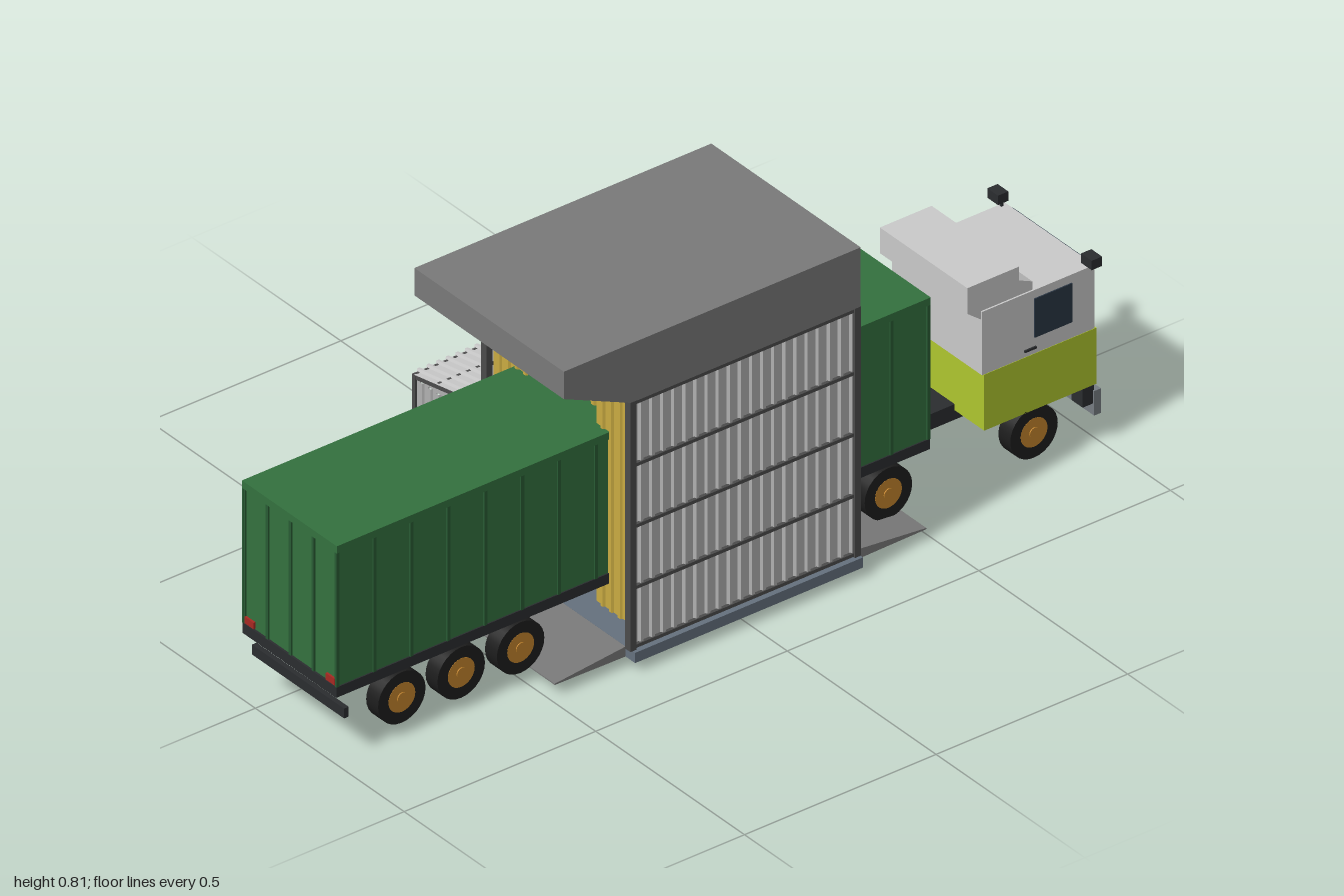
import * as THREE from 'three';

const C = {
  light: 0xcccccc, wall: 0xb2b2b2, roof: 0x7a7a7a, frame: 0x4c4c4c, yellow: 0xcbac42, base: 0x66727f,
  dark: 0x2b2d30, tyre: 0x1d1d1d, hub: 0xc4852c, green: 0x34723f, rib: 0x295c34, lime: 0xb0c72f,
  glass: 0x2a3644, lamp: 0xe2dfae, steel: 0x777d83, wood: 0x8f7550, tank: 0xa9b4bb, blue: 0x2c62a8, red: 0xa82a22,
};
const mats = {};
const mat = (c) => (mats[c] ??= new THREE.MeshStandardMaterial({ color: C[c] }));
const thin = (c) => (mats['thin' + c] ??= new THREE.MeshStandardMaterial({ color: C[c], side: THREE.DoubleSide, flatShading: true }));

function mesh(parent, name, geo, material, x = 0, y = 0, z = 0) {
  const m = new THREE.Mesh(geo, material);
  m.name = name;
  m.position.set(x, y, z);
  parent.add(m);
  return m;
}
// Box given by its limits
function box(p, name, c, x0, x1, y0, y1, z0, z1) {
  return mesh(p, name, new THREE.BoxGeometry(x1 - x0, y1 - y0, z1 - z0), mat(c), (x0 + x1) / 2, (y0 + y1) / 2, (z0 + z1) / 2);
}
// Side outline in x, y extruded between two z values
function prism(p, name, c, pts, z0, z1) {
  const s = new THREE.Shape(pts.map(([x, y]) => new THREE.Vector2(x, y)));
  return mesh(p, name, new THREE.ExtrudeGeometry(s, { depth: z1 - z0, bevelEnabled: false }), mat(c), 0, 0, z0);
}
function cyl(p, name, c, r, h, x, y, z, seg = 20) {
  return mesh(p, name, new THREE.CylinderGeometry(r, r, h, seg), mat(c), x, y, z);
}
// Sheet with n trapezoid ribs running along its height
function corrugated(p, name, c, w, h, n, depth, x, y, z) {
  const g = new THREE.PlaneGeometry(w, h, n * 4, 1), a = g.attributes.position;
  const at = [0, 0.55, 0.65, 0.9], up = [0, 0, 1, 1];
  for (let i = 0; i < a.count; i++) {
    const col = i % (n * 4 + 1), k = col % 4;
    a.setX(i, -w / 2 + (w * (Math.floor(col / 4) + at[k])) / n);
    a.setZ(i, depth * up[k]);
  }
  g.computeVertexNormals();
  return mesh(p, name, g, thin(c), x, y, z);
}
function pipe(p, c, r, pts) {
  const path = new THREE.CurvePath();
  const v = pts.map((q) => new THREE.Vector3(...q));
  for (let i = 1; i < v.length; i++) path.add(new THREE.LineCurve3(v[i - 1], v[i]));
  mesh(p, 'pipe', new THREE.TubeGeometry(path, (v.length - 1) * 6, r, 6), mat(c));
}

function buildStation() {
  const g = new THREE.Group();
  g.name = 'washStation';
  // Base, sunken plate and drive-on ramps
  box(g, 'basePlatform', 'base', -0.3, 0.295, 0.025, 0.05, -0.145, 0.375);
  prism(g, 'sunkenPlate', 'base', [[-0.3, 0.025], [-0.13, 0.012], [0.13, 0.012], [0.3, 0.025]], -0.108, 0.34);
  prism(g, 'plateUnderside', 'dark', [[-0.3, 0.024], [-0.13, 0], [0.13, 0], [0.3, 0.024], [0.13, 0.012], [-0.13, 0.012]], -0.108, 0.34);
  for (const s of [-1, 1]) {
    const pts = [[s * 0.295, 0.025], [s * 0.485, 0.028], [s * 0.485, 0.031], [s * 0.295, 0.05]];
    prism(g, 'ramp', 'roof', s > 0 ? pts : pts.reverse(), -0.122, 0.343);
  }
  // Roof hood with overhang
  prism(g, 'roofHood', 'roof', [[-0.305, 0.66], [0.295, 0.66], [0.295, 0.805], [-0.48, 0.805], [-0.48, 0.738]], -0.135, 0.367);
  // Long walls with rails
  for (const [z, s] of [[0.354, 1], [-0.122, -1]]) {
    const w = corrugated(g, 'longWall', 'wall', 0.58, 0.61, 20, 0.007, -0.003, 0.355, z);
    if (s < 0) w.rotation.y = Math.PI;
    for (const y of [0.056, 0.2, 0.35, 0.5, 0.653])
      box(g, 'wallRail', 'frame', -0.3, 0.29, y - 0.004, y + 0.004, z + s * 0.006 - 0.004, z + s * 0.006 + 0.004);
    for (const x of [-0.298, 0.288])
      box(g, 'cornerPost', 'frame', x - 0.008, x + 0.008, 0.05, 0.66, z + s * 0.004 - 0.009, z + s * 0.004 + 0.009);
  }
  // End curtains around the drive-through opening
  for (const [x, s] of [[-0.288, -1], [0.278, 1]]) {
    for (const [z0, z1, y0, n] of [[0.23, 0.347, 0.1, 4], [0, 0.23, 0.578, 7], [-0.116, 0, 0.1, 4]]) {
      const c = corrugated(g, 'endCurtain', 'yellow', z1 - z0, 0.66 - y0, n, 0.005, x, (0.66 + y0) / 2, (z0 + z1) / 2);
      c.rotation.y = (s * Math.PI) / 2;
    }
    box(g, 'headerRail', 'frame', x + s * 0.008 - 0.003, x + s * 0.008 + 0.003, 0.643, 0.648, -0.116, 0.347);
  }
  return g;
}

function buildShed() {
  const g = new THREE.Group();
  g.name = 'equipmentShed';
  const a = Math.atan2(0.045, 0.237);
  // Sloping roof sheet with rafters and purlins
  corrugated(g, 'shedRoof', 'light', 0.6, 0.242, 24, 0.006, -0.003, 0.379, -0.254).rotation.x = -Math.PI / 2 - a;
  for (const x of [-0.298, -0.1, 0.095, 0.288])
    mesh(g, 'rafter', new THREE.BoxGeometry(0.008, 0.01, 0.238), mat('frame'), x, 0.373, -0.254).rotation.x = -a;
  for (const t of [0, 0.33, 0.66, 1])
    mesh(g, 'purlin', new THREE.BoxGeometry(0.59, 0.009, 0.009), mat('frame'), -0.003, 0.396 - t * 0.042, -0.142 - t * 0.222);
  for (const [x, s] of [[-0.298, -1], [0.288, 1]]) {
    corrugated(g, 'shedSideWall', 'wall', 0.226, 0.295, 8, 0.005, x, 0.2025, -0.25).rotation.y = (s * Math.PI) / 2;
    // Gable above the side wall
    const tri = new THREE.Shape([new THREE.Vector2(0.136, 0.348), new THREE.Vector2(0.362, 0.348), new THREE.Vector2(0.362, 0.355), new THREE.Vector2(0.136, 0.395)]);
    mesh(g, 'gable', new THREE.ShapeGeometry(tri), thin('wall'), x).rotation.y = Math.PI / 2;
    box(g, 'shedPost', 'frame', x - 0.005, x + 0.005, 0.052, 0.358, -0.37, -0.36);
  }
  // Water tank
  cyl(g, 'waterTank', 'tank', 0.036, 0.13, 0.145, 0.095, -0.32);
  mesh(g, 'waterTankTop', new THREE.SphereGeometry(0.036, 20, 6, 0, Math.PI * 2, 0, Math.PI / 2), mat('tank'), 0.145, 0.16, -0.32).scale.y = 0.3;
  // Banded barrel
  const profile = [[0, 0], [0.034, 0], [0.041, 0.05], [0.043, 0.09], [0.041, 0.13], [0.034, 0.18], [0, 0.18]].map(([r, y]) => new THREE.Vector2(r, y));
  mesh(g, 'barrel', new THREE.LatheGeometry(profile, 20), mat('wood'), -0.17, 0.03, -0.29);
  for (const y of [0.06, 0.1, 0.14, 0.18])
    mesh(g, 'barrelHoop', new THREE.TorusGeometry(0.041, 0.003, 6, 20), mat('frame'), -0.17, y, -0.29).rotation.x = Math.PI / 2;
  // Pumps
  for (const x of [-0.03, -0.09]) {
    cyl(g, 'pumpMotor', 'blue', 0.018, 0.045, x, 0.085, -0.24, 14);
    const body = cyl(g, 'pumpBody', 'blue', 0.014, 0.04, x, 0.052, -0.25, 14);
    body.rotation.x = Math.PI / 2;
    box(g, 'pumpFoot', 'steel', x - 0.02, x + 0.02, 0.03, 0.04, -0.275, -0.21);
  }
  // Filter vessel, control panel and pipework
  cyl(g, 'filterVessel', 'light', 0.018, 0.09, 0.08, 0.085, -0.23, 16);
  cyl(g, 'filterCap', 'red', 0.015, 0.016, 0.08, 0.138, -0.23, 16);
  box(g, 'controlPanel', 'steel', -0.02, 0.05, 0.16, 0.22, -0.16, -0.14);
  pipe(g, 'steel', 0.004, [[0.145, 0.06, -0.29], [0.145, 0.06, -0.2], [0.08, 0.06, -0.2], [-0.09, 0.06, -0.2]]);
  pipe(g, 'steel', 0.004, [[-0.03, 0.1, -0.24], [-0.03, 0.15, -0.24], [0.08, 0.15, -0.24], [0.08, 0.13, -0.24]]);
  pipe(g, 'steel', 0.004, [[0.15, 0.035, -0.18], [0.15, 0.19, -0.18], [0.03, 0.19, -0.18], [0.03, 0.035, -0.18]]);
  pipe(g, 'blue', 0.004, [[-0.09, 0.1, -0.24], [-0.09, 0.14, -0.24], [-0.17, 0.14, -0.22], [-0.17, 0.05, -0.22], [-0.17, 0.04, -0.14]]);
  return g;
}

function buildWheel(p, x, z, s) {
  const w = new THREE.Group();
  w.name = 'wheel';
  w.position.set(x, 0.093, z);
  w.rotation.x = (s * Math.PI) / 2;
  cyl(w, 'tyre', 'tyre', 0.062, 0.04, 0, 0, 0, 28);
  cyl(w, 'rim', 'hub', 0.035, 0.041, 0, 0, 0, 24);
  cyl(w, 'hubCap', 'hub', 0.013, 0.046, 0, 0, 0, 12);
  p.add(w);
}

function buildTruck() {
  const g = new THREE.Group();
  g.name = 'truck';
  // Container with rails and ribs
  box(g, 'container', 'green', -0.995, 0.545, 0.187, 0.53, -0.041, 0.269);
  box(g, 'containerTop', 'green', -1, 0.55, 0.517, 0.535, -0.045, 0.274);
  box(g, 'trailerBed', 'dark', -1, 0.55, 0.163, 0.188, -0.043, 0.272);
  for (let i = 0; i <= 16; i++) {
    const x = -0.996 + (i * 1.542) / 16;
    for (const z of [-0.042, 0.27]) box(g, 'containerRib', 'rib', x - 0.004, x + 0.004, 0.188, 0.517, z - 0.003, z + 0.003);
  }
  for (const x of [-0.996, 0.546])
    for (let i = 0; i <= 4; i++) {
      const z = -0.04 + i * 0.077;
      box(g, 'containerEndRib', 'rib', x - 0.003, x + 0.003, 0.188, 0.517, z - 0.004, z + 0.004);
    }
  // Frame and axles
  box(g, 'truckFrame', 'dark', 0.22, 0.985, 0.125, 0.163, 0.055, 0.168);
  for (const x of [-0.825, -0.67, -0.515, 0.29, 0.445, 0.825]) {
    cyl(g, 'axle', 'dark', 0.012, 0.28, x, 0.093, 0.115, 10).rotation.x = Math.PI / 2;
    for (const z of [0.09, 0.14]) box(g, 'axleHanger', 'dark', x - 0.012, x + 0.012, 0.093, 0.165, z - 0.006, z + 0.006);
    buildWheel(g, x, 0.247, 1);
    buildWheel(g, x, -0.013, -1);
  }
  // Rear guard and tail lamps
  box(g, 'rearGuard', 'dark', -0.978, -0.966, 0.103, 0.127, -0.04, 0.27);
  for (const z of [-0.036, 0.236]) box(g, 'tailLamp', 'red', -1, -0.993, 0.19, 0.206, z, z + 0.03);
  // Cab
  box(g, 'cabLower', 'lime', 0.695, 0.988, 0.148, 0.285, -0.037, 0.267);
  box(g, 'cabUpper', 'light', 0.69, 0.984, 0.285, 0.44, -0.036, 0.266);
  prism(g, 'cabRoofFairing', 'light', [[0.69, 0.42], [0.825, 0.438], [0.825, 0.46], [0.79, 0.476], [0.79, 0.51], [0.655, 0.51], [0.655, 0.447]], -0.032, 0.262);
  box(g, 'windscreen', 'glass', 0.98, 0.99, 0.308, 0.435, -0.017, 0.249);
  for (const z of [-0.037, 0.267]) {
    box(g, 'sideWindow', 'glass', 0.826, 0.924, 0.325, 0.42, z - 0.002, z + 0.002);
    box(g, 'doorHandle', 'dark', 0.8, 0.83, 0.298, 0.303, z - 0.003, z + 0.003);
  }
  for (const [z, s] of [[-0.042, -1], [0.273, 1]]) {
    box(g, 'mirror', 'dark', 0.957, 0.984, 0.45, 0.473, z - 0.018, z + 0.018);
    box(g, 'mirrorArm', 'dark', 0.968, 0.974, 0.435, 0.455, z - s * 0.012 - 0.003, z - s * 0.012 + 0.003);
  }
  box(g, 'grille', 'steel', 0.985, 0.993, 0.16, 0.243, 0.015, 0.218);
  box(g, 'frontPlate', 'dark', 0.98, 0.994, 0.13, 0.16, 0.055, 0.177);
  for (const z of [-0.01, 0.195]) box(g, 'headlight', 'lamp', 0.985, 0.997, 0.157, 0.175, z, z + 0.048);
  box(g, 'bumper', 'steel', 0.982, 1, 0.072, 0.132, -0.036, 0.267);
  for (const z of [-0.033, 0.225]) box(g, 'bumperBracket', 'dark', 0.955, 0.985, 0.1, 0.15, z, z + 0.038);
  return g;
}

export function createModel() {
  const model = new THREE.Group();
  model.name = 'truckWashStation';
  model.add(buildStation(), buildShed(), buildTruck());
  return model;
}
